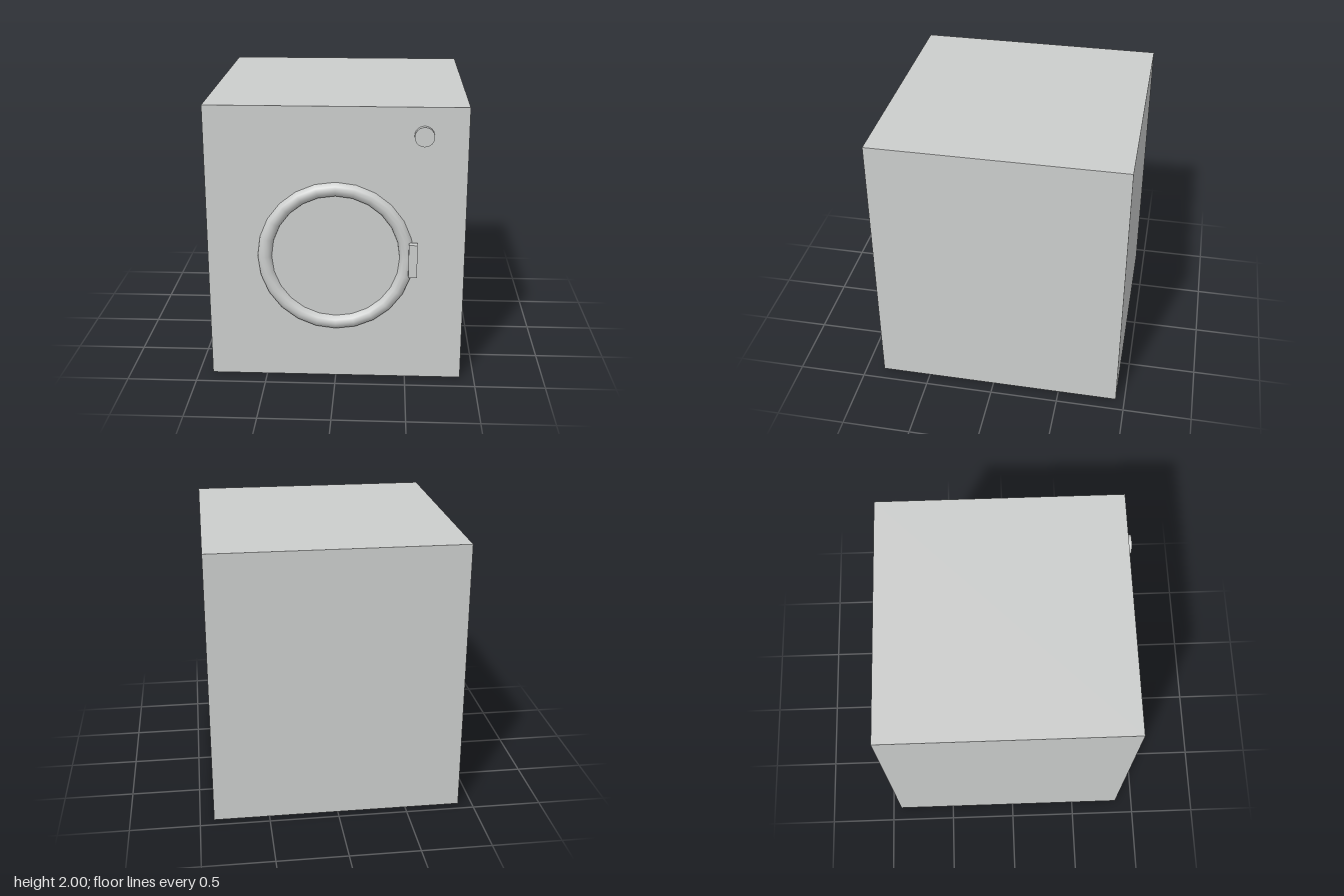
import * as THREE from 'three';

export function createModel() {
  const model = new THREE.Group();
  model.name = 'washingMachine';

  const enamel = new THREE.MeshStandardMaterial({ color: 0xcccecd });
  enamel.name = 'light grey enamel';

  const add = (name, geometry, x, y, z) => {
    const mesh = new THREE.Mesh(geometry, enamel);
    mesh.name = name;
    mesh.position.set(x, y, z);
    model.add(mesh);
    return mesh;
  };

  const frontZ = 0.865;

  // Cabinet
  add('cabinet', new THREE.BoxGeometry(1.8, 2, 1.8), 0, 1, frontZ - 0.9);

  // Door ring, half sunk into the cabinet front
  add('doorRing', new THREE.TorusGeometry(0.498, 0.053, 12, 24), 0, 0.923, 0.852);

  // Door handle, bridging the ring on the model's left
  add('doorHandle', new THREE.BoxGeometry(0.06, 0.24, 0.057), 0.54, 0.923, 0.9065);

  // Control knob, its back set into the cabinet
  const knob = add('controlKnob', new THREE.CylinderGeometry(0.068, 0.068, 0.06, 24), 0.6, 1.804, 0.875);
  knob.rotation.x = Math.PI / 2;

  return model;
}
